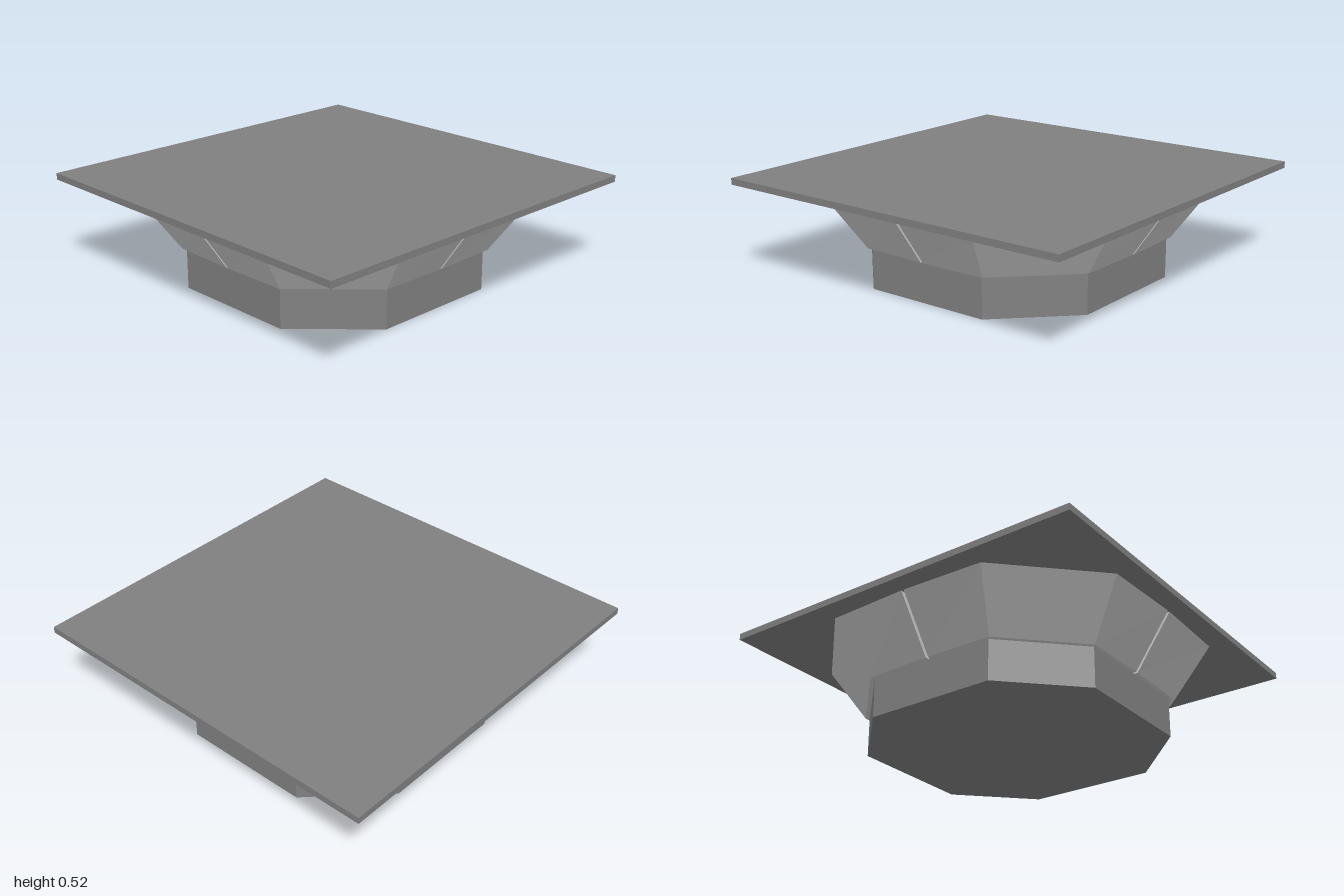
import * as THREE from 'three';

const concrete = new THREE.MeshStandardMaterial({ color: 0x808080 });
concrete.name = 'grey concrete';
const paleConcrete = new THREE.MeshStandardMaterial({ color: 0xcccccc });
paleConcrete.name = 'pale concrete';

// Quarter outline: from the middle of the +z side, round the chamfer, to the middle of the +x side
const quarter = (gap, corner, side, mid) => [[gap, mid], [corner, side], [side, corner], [mid, gap]];

// Solid flared panel: a closed four-sided section swept along the quarter outline
function flaredPanel() {
  const at = (y, pts) => pts.map(([x, z]) => new THREE.Vector3(x, y, z));
  const rings = [
    at(0.21, quarter(0.007, 0.36, 0.708, 0.716)),  // outer foot
    at(0.483, quarter(0.007, 0.446, 0.89, 0.907)), // outer rim
    at(0.483, quarter(0.007, 0.34, 0.685, 0.685)), // inner rim
    at(0.21, quarter(0.007, 0.34, 0.685, 0.685)),  // inner foot
  ];
  const pos = [];
  const quad = (a, b, c, d) => [a, b, c, a, c, d].forEach((v) => pos.push(v.x, v.y, v.z));
  for (let r = 0; r < 4; r++) {
    const low = rings[r], high = rings[(r + 1) % 4];
    for (let i = 0; i < 3; i++) quad(low[i], low[i + 1], high[i + 1], high[i]);
  }
  quad(rings[0][0], rings[1][0], rings[2][0], rings[3][0]);
  quad(rings[3][3], rings[2][3], rings[1][3], rings[0][3]);
  const geo = new THREE.BufferGeometry();
  geo.setAttribute('position', new THREE.Float32BufferAttribute(pos, 3));
  geo.computeVertexNormals();
  return geo;
}

// Upright octagonal prism with unequal sides
function octagonPrism(side, corner, y0, y1) {
  const shape = new THREE.Shape([
    [corner, side], [-corner, side], [-side, corner], [-side, -corner],
    [-corner, -side], [corner, -side], [side, -corner], [side, corner],
  ].map(([x, y]) => new THREE.Vector2(x, y)));
  const geo = new THREE.ExtrudeGeometry(shape, { depth: y1 - y0, bevelEnabled: false });
  return geo.rotateX(-Math.PI / 2).translate(0, y0, 0);
}

export function createModel() {
  const model = new THREE.Group();
  const add = (name, geo, mat) => {
    const mesh = new THREE.Mesh(geo, mat);
    mesh.name = name;
    model.add(mesh);
    return mesh;
  };

  // Column runs up behind the panels to the slab
  add('column', octagonPrism(0.693, 0.345, 0, 0.49), concrete);

  // Four panels with narrow joints between them
  const panel = flaredPanel();
  for (let k = 0; k < 4; k++) {
    add('flaredPanel' + (k + 1), panel, paleConcrete).rotation.y = k * Math.PI / 2;
  }

  // Thin square slab on top
  add('slab', new THREE.BoxGeometry(2, 0.034, 2).translate(0, 0.506, 0), concrete);
  return model;
}
